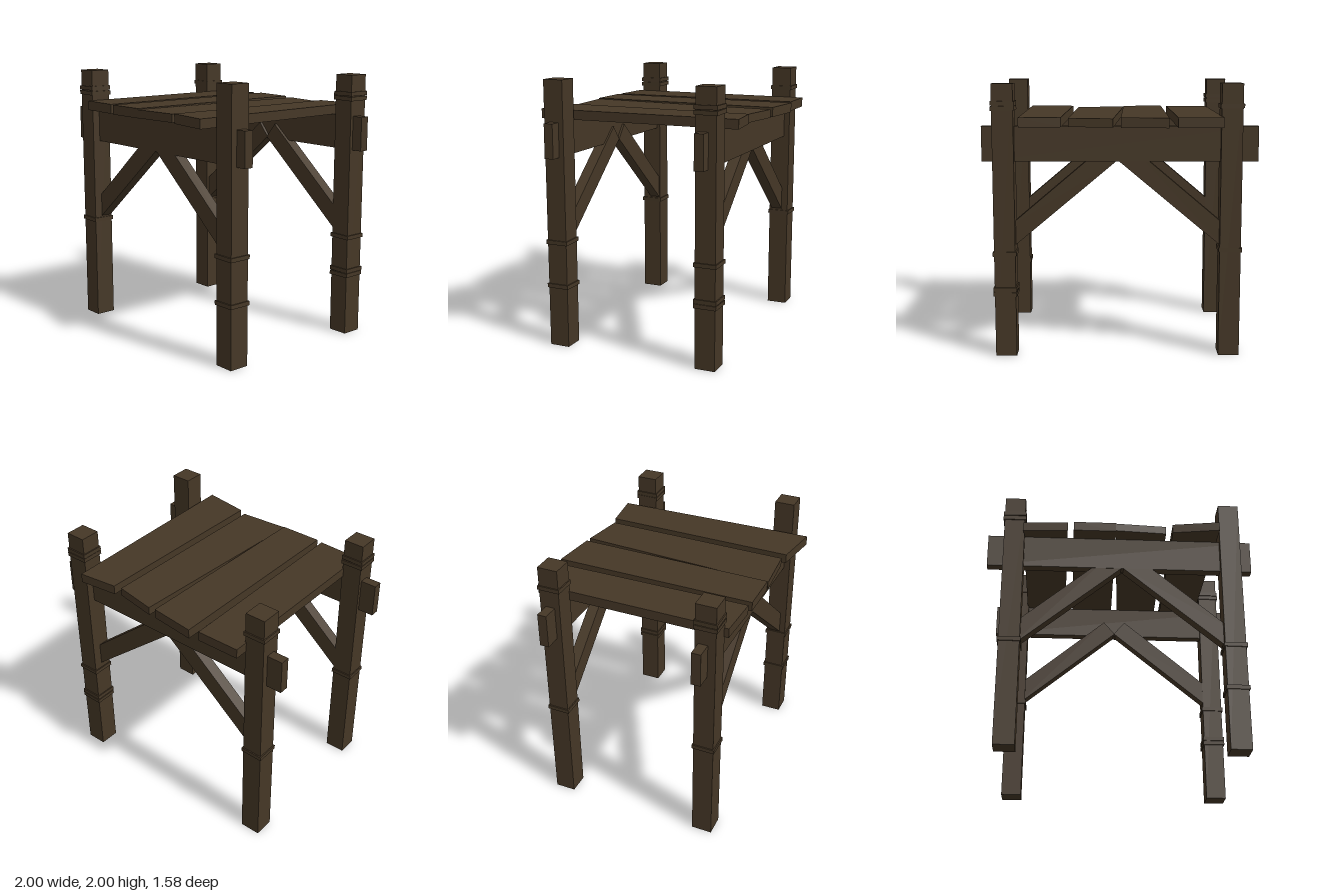
import * as THREE from 'three';

export function createModel() {
  const model = new THREE.Group();
  model.name = 'woodenPlatform';
  const wood = new THREE.MeshStandardMaterial({ color: 0x453726 });
  wood.name = 'dark wood';

  const add = (name, geometry, x = 0, y = 0, z = 0, parent = model) => {
    const mesh = new THREE.Mesh(geometry, wood);
    mesh.name = name;
    mesh.position.set(x, y, z);
    parent.add(mesh);
    return mesh;
  };
  // Flat outline extruded by depth along +z
  const slab = (points, depth) => new THREE.ExtrudeGeometry(
    new THREE.Shape(points.map(([x, y]) => new THREE.Vector2(x, y))),
    { depth, bevelEnabled: false });

  // Posts with their binding bands: [name, x, z, band heights]
  const posts = [
    ['frontLeftPost', 0.84, 0.58, [0.802, 0.466]],
    ['backLeftPost', 0.84, -0.6, [1.825, 1.86, 0.767, 0.467, 0.503]],
    ['frontRightPost', -0.803, 0.592, [1.822, 1.86, 0.8]],
    ['backRightPost', -0.803, -0.586, [1.84, 0.795]],
  ];
  for (const [name, x, z, bands] of posts) {
    const group = new THREE.Group();
    group.name = name;
    group.position.set(x, 0, z);
    model.add(group);
    add('post', new THREE.BoxGeometry(0.154, 2, 0.154), 0, 1, 0, group);
    bands.forEach((y, i) => {
      const band = add('band', new THREE.BoxGeometry(0.172, 0.031, 0.172), 0, y, 0, group);
      band.rotation.z = (i % 2 ? 1 : -1) * 0.012;
    });
  }

  // Long beams through the posts
  add('frontBeam', new THREE.BoxGeometry(2, 0.255, 0.07), 0, 1.5675, 0.576);
  add('backBeam', new THREE.BoxGeometry(2, 0.255, 0.07), 0, 1.5675, -0.584);

  // Diagonal braces, mirrored between the posts and meeting under the beams
  const brace = [[-0.8, 0.765], [0.02, 1.45], [-0.07, 1.56], [-0.8, 0.943]];
  const mirrored = brace.map(([x, y]) => [0.035 - x, y]).reverse();
  for (const [side, z] of [['front', 0.523], ['back', -0.612]]) {
    add(side + 'RightBrace', slab(brace, 0.085), 0, 0, z);
    add(side + 'LeftBrace', slab(mirrored, 0.085), 0, 0, z + 0.003);
  }

  // Crooked deck planks: corners as [x, z], then bottom and top heights
  const planks = [
    [[[-0.735, -0.765], [-0.41, -0.77], [-0.4, 0.718], [-0.735, 0.703]], 1.693, 1.765],
    [[[-0.345, -0.795], [-0.005, -0.758], [-0.035, 0.73], [-0.355, 0.73]], 1.693, 1.765],
    [[[0.05, -0.76], [0.37, -0.705], [0.345, 0.71], [-0.036, 0.735]], 1.695, 1.757],
    [[[0.42, -0.725], [0.72, -0.76], [0.745, 0.785], [0.395, 0.73]], 1.695, 1.765],
  ];
  planks.forEach(([corners, bottom, top], i) => {
    const geometry = slab(corners, top - bottom).rotateX(Math.PI / 2);
    add('plank' + (i + 1), geometry, 0, top, 0);
  });

  return model;
}
